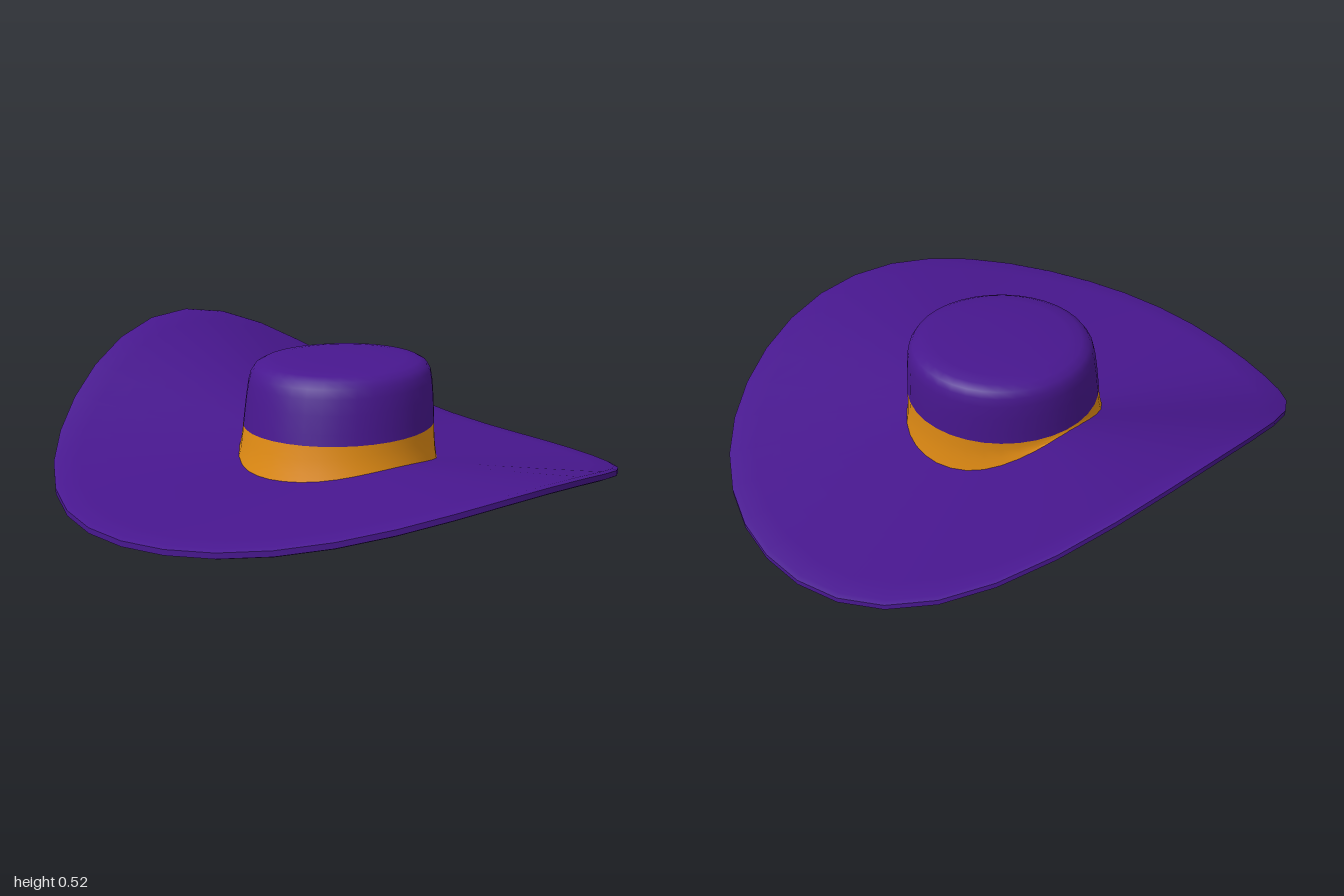
import * as THREE from 'three';
import { toCreasedNormals } from 'three/addons/utils/BufferGeometryUtils.js';

const SEGMENTS = 36;
const purple = new THREE.MeshStandardMaterial({ color: 0x48178f, side: THREE.DoubleSide });
const orange = new THREE.MeshStandardMaterial({ color: 0xe28c14, side: THREE.DoubleSide });

// Height of the brim's top: high peak at the back right, lower one at the front left
function brimHeight(x, z) {
  const r = Math.hypot(x, z);
  const a = Math.atan2(-z, -x) - Math.PI / 6;
  const rim = 0.19 + 0.124 * Math.cos(a) + 0.164 * Math.cos(2 * a)
    + 0.033 * Math.cos(3 * a) + 0.019 * Math.cos(4 * a) - 0.015 * Math.sin(a);
  return 0.112 + (rim - 0.112) * Math.pow(r, 1.22);
}

// Lathe a profile of [radius, height] pairs, then move every vertex by a rule
function bentLathe(name, profile, material, rule, crease) {
  const points = profile.map(([r, y]) => new THREE.Vector2(r, y));
  const geometry = new THREE.LatheGeometry(points, SEGMENTS);
  const p = geometry.attributes.position;
  const v = new THREE.Vector3();
  for (let i = 0; i < p.count; i++) {
    rule(v.fromBufferAttribute(p, i));
    p.setXYZ(i, v.x, v.y, v.z);
  }
  const mesh = new THREE.Mesh(toCreasedNormals(geometry, crease), material);
  mesh.name = name;
  return mesh;
}

// Lean the crown back, lengthen it slightly and tilt its top
function lean(v) {
  v.z = v.z * 1.03 - 0.11 * (v.y - 0.12);
  v.y -= 0.035 * v.z;
}

export function createModel() {
  const hat = new THREE.Group();
  hat.name = 'hat';

  // Brim: a thin ring draped over the height rule
  const radii = [0.345, 0.42, 0.52, 0.62, 0.72, 0.82, 0.91, 0.985];
  const brimProfile = [
    ...radii.map((r) => [r, -0.03]),
    [1, -0.024], [1, -0.006],
    ...radii.slice().reverse().map((r) => [r, 0]),
    [0.345, -0.03],
  ];
  hat.add(bentLathe('brim', brimProfile, purple, (v) => {
    v.y += brimHeight(v.x, v.z);
    v.x *= 0.965;
  }, 0.7));

  // Band: its lower edge follows the brim, its upper edge meets the crown
  const bandProfile = [[0.35, 0], [0.341, 0.35], [0.336, 0.7], [0.334, 1]];
  hat.add(bentLathe('band', bandProfile, orange, (v) => {
    const bottom = brimHeight(v.x, v.z) - 0.012;
    v.y = bottom + (0.232 - bottom) * v.y;
    lean(v);
  }, 0.7));

  // Crown: tapered wall with a rounded shoulder and a nearly flat top
  const crownProfile = [
    [0.334, 0.23], [0.331, 0.27], [0.326, 0.33], [0.32, 0.38], [0.313, 0.41],
    [0.3, 0.431], [0.275, 0.444], [0.23, 0.45], [0.12, 0.454], [0, 0.455],
  ];
  hat.add(bentLathe('crown', crownProfile, purple, lean, 0.9));

  return hat;
}
